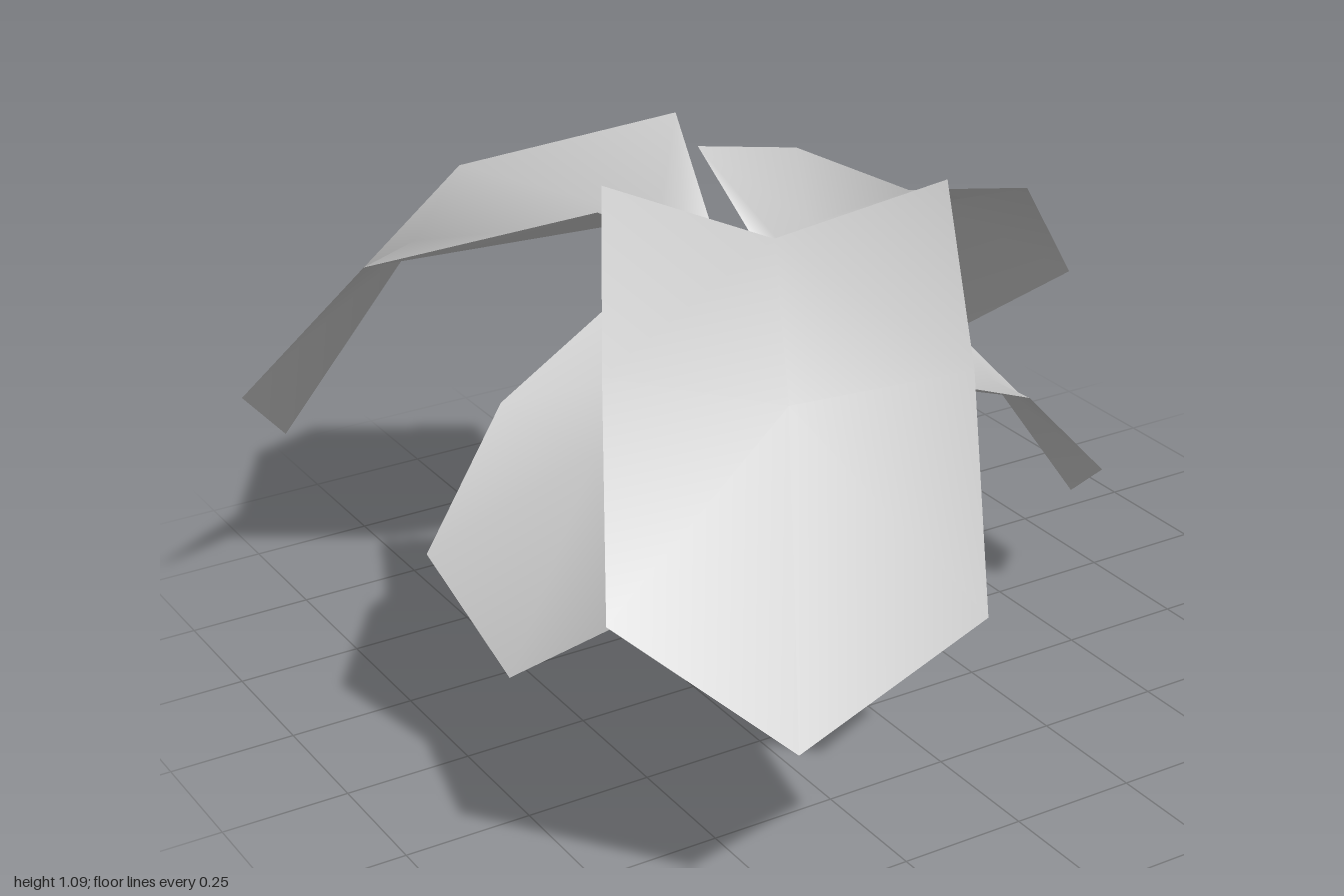
import * as THREE from 'three';

// Cross-sections of one leaf: [half width, edge out, edge y, centre out, centre y]
const SECTIONS = [
  [0.085, -0.02, 0, 0.01, 0],
  [0.085, -0.02, 0.45, 0.01, 0.45],
  [0.08, -0.01, 0.78, 0.03, 0.74],
  [0.09, 0.07, 0.93, 0.10, 0.89],
  [0.315, 0.20, 1.09, 0.16, 0.965],
  [0.315, 0.70, 0.93, 0.70, 0.87],
  [0.315, 0.99, 0.61, 1.03, 0.38],
];

// Each leaf: name, base x, base z, direction x, direction z, scale
const LEAVES = [
  ['largeFrontLeaf', -0.05, -0.026, -0.49, 0.87, 1],
  ['largeBackLeftLeaf', 0.037, -0.143, 0.865, -0.5, 0.862],
  ['largeBackRightLeaf', -0.058, -0.153, -0.71, -0.7, 0.927],
  ['mediumRightLeaf', -0.053, -0.03, -0.945, 0.325, 0.725],
  ['smallLeftLeaf', 0.06, -0.074, 0.98, 0.2, 0.578],
  ['smallFrontLeaf', 0.008, -0.01, -0.3, 0.954, 0.532],
  ['smallBackLeaf', 0.034, -0.122, 0.2, -0.98, 0.385],
];

// Folded strip: stem rising from the ground, flaring into a drooping blade
function leafGeometry() {
  const positions = [];
  const index = [];
  SECTIONS.forEach(([half, edgeOut, edgeY, midOut, midY], row) => {
    positions.push(-half, edgeY, edgeOut, 0, midY, midOut, half, edgeY, edgeOut);
    if (row === 0) return;
    for (let i = 0; i < 2; i++) {
      const b = row * 3 + i;
      const a = b - 3;
      // split mirrored about the centre fold
      if (i === 0) index.push(a, b, a + 1, a + 1, b, b + 1);
      else index.push(a, b, b + 1, a, b + 1, a + 1);
    }
  });
  const geometry = new THREE.BufferGeometry();
  geometry.setAttribute('position', new THREE.Float32BufferAttribute(positions, 3));
  geometry.setIndex(index);
  geometry.computeVertexNormals();
  return geometry;
}

export function createModel() {
  const plant = new THREE.Group();
  plant.name = 'plant';
  const material = new THREE.MeshStandardMaterial({ color: 0xcccccc, side: THREE.DoubleSide });
  const geometry = leafGeometry();

  // Leaves of shrinking size fanned around a common stem bundle
  for (const [name, x, z, dx, dz, scale] of LEAVES) {
    const leaf = new THREE.Mesh(geometry, material);
    leaf.name = name;
    leaf.position.set(x, 0, z);
    leaf.rotation.y = Math.atan2(dx, dz);
    leaf.scale.setScalar(scale);
    plant.add(leaf);
  }
  return plant;
}
